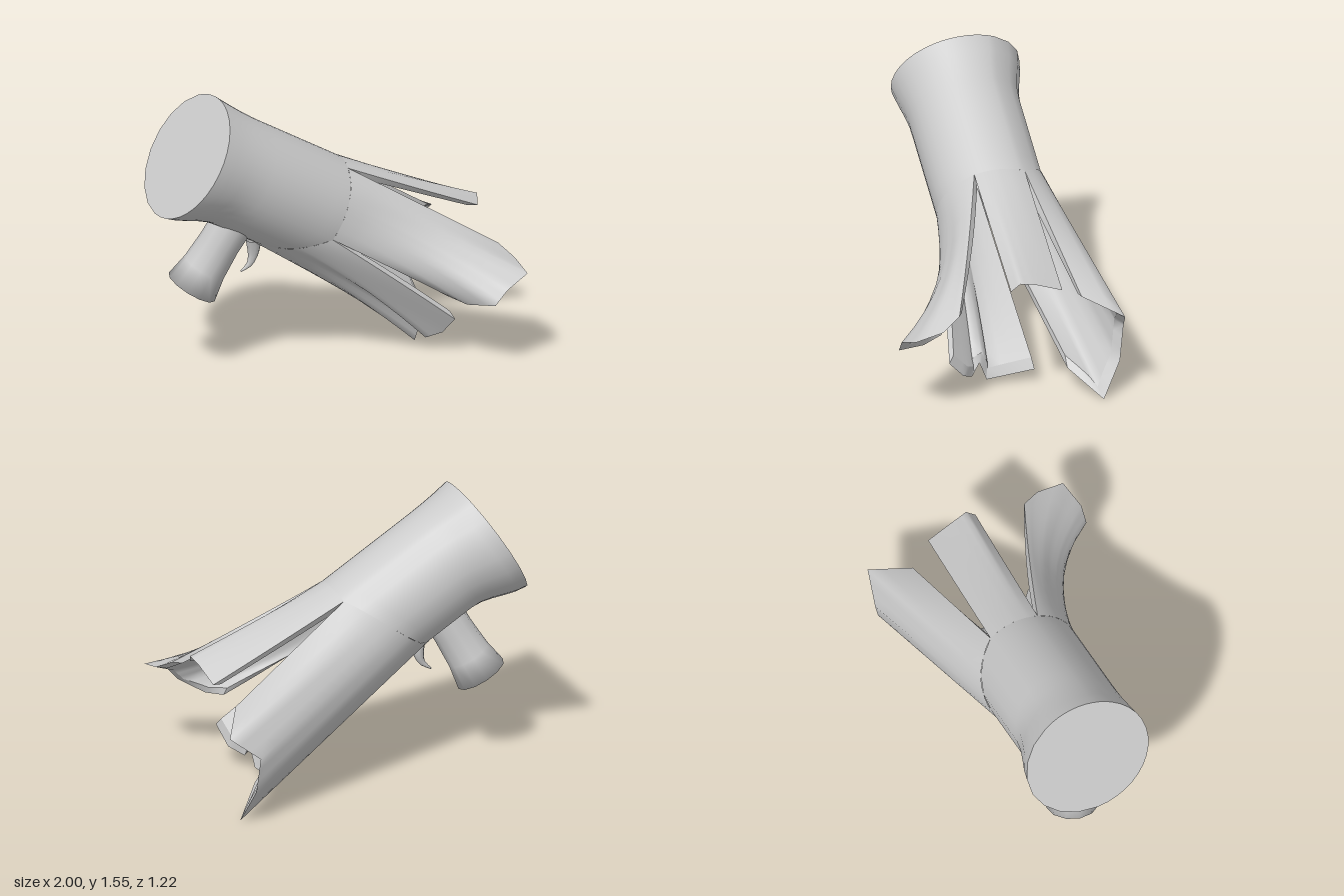
import * as THREE from 'three';
import { mergeGeometries, mergeVertices } from 'three/addons/utils/BufferGeometryUtils.js';

const V = (x, y, z) => new THREE.Vector3(x, y, z);
const { lerp, smoothstep, degToRad } = THREE.MathUtils;
const material = new THREE.MeshStandardMaterial({ color: 0xcccccc, side: THREE.DoubleSide });

// Frame of the log: centre of the big end, axis, and the two cross directions
const origin = V(-0.81, 1.25, 0.215);
const axis = V(0.843, -0.506, -0.195).normalize();
const side = axis.clone().cross(V(0, 1, 0)).normalize();
const up = side.clone().cross(axis).normalize();

// Point on the log; past the flared end its centre line shifts slightly
const onLog = (s, deg, r) => {
  const a = degToRad(deg), shift = smoothstep(s, 0, 0.3);
  return origin.clone().addScaledVector(axis, s)
    .addScaledVector(up, 0.03 * shift + r * Math.cos(a))
    .addScaledVector(side, 0.022 * shift + r * Math.sin(a));
};
const radius = s => 0.305 + 0.055 * (1 - smoothstep(s, -0.05, 0.3));

// Splits between the splinters: [angle, distance along the log]
const splits = [[-29, 0.87], [26, 0.86], [109, 0.876], [185, 0.55], [331, 0.87]];
const splitAt = (i, t) => [0, 1].map(k => lerp(splits[i][k], splits[i + 1][k], t));

// Smooth surface through fn(u, v), both running 0..1
function grid(fn, nu, nv) {
  const pos = [], index = [];
  for (let j = 0; j <= nv; j++)
    for (let i = 0; i <= nu; i++) pos.push(...fn(i / nu, j / nv).toArray());
  for (let j = 0; j < nv; j++)
    for (let i = 0; i < nu; i++) {
      const a = j * (nu + 1) + i, b = a + nu + 1;
      index.push(a, a + 1, b, a + 1, b + 1, b);
    }
  let g = new THREE.BufferGeometry();
  g.setAttribute('position', new THREE.Float32BufferAttribute(pos, 3));
  g.setIndex(index);
  g = mergeVertices(g, 1e-5);
  g.computeVertexNormals();
  return g;
}

// Bark of the log, ending in the zigzag line of the splits
function bodyPoint(u, v) {
  const k = Math.min(3, Math.floor(u * 4 + 1e-6));
  const [deg, end] = splitAt(k, u * 4 - k);
  return { deg, end, s: v * end };
}

// One splinter: starts on the log, bends out to a jagged, bevelled end.
// bend(u) is 0 for a straight rail and 1 for one leaving along the log
function splinter(i, ends, bend) {
  const tips = ends.map(p => V(...p)), last = tips.length - 1;
  const nu = last * 3, nv = 9;
  const run = [0];
  for (let k = 0; k < last; k++) run.push(run[k] + tips[k].distanceTo(tips[k + 1]));
  const outer = (u, v) => {
    const k = Math.min(last - 1, Math.floor(u * last + 1e-6)), f = u * last - k;
    const t = lerp(run[k], run[k + 1], f) / run[last];
    const [deg, s] = splitAt(i, t);
    const a = onLog(s, deg, radius(s)), b = tips[k].clone().lerp(tips[k + 1], f);
    const mid = a.clone().lerp(b, 0.5);
    const tangent = a.clone().addScaledVector(axis, a.distanceTo(b) / 2);
    return new THREE.QuadraticBezierCurve3(a, mid.lerp(tangent, bend(t)), b).getPoint(v);
  };
  const inner = (u, v) => {
    const e = 0.08, w = v * 0.95;
    const du = outer(Math.min(1, u + e), w).sub(outer(Math.max(0, u - e), w));
    const dv = outer(u, Math.min(1, w + e)).sub(outer(u, Math.max(0, w - e)));
    return outer(u, w).addScaledVector(du.cross(dv).normalize(), lerp(-0.045, -0.03, v));
  };
  const between = (u, v, t) => outer(u, v).lerp(inner(u, v), t);
  return mergeGeometries([
    grid(outer, nu, nv),
    grid((u, v) => inner(1 - u, v), nu, nv),
    grid((t, v) => between(0, v, 1 - t), 1, nv),
    grid((t, v) => between(1, v, t), 1, nv),
    grid((u, t) => between(u, 1, t), nu, 1),
  ]);
}

export function createModel() {
  const group = new THREE.Group();
  const add = (name, geometry) => {
    const mesh = new THREE.Mesh(geometry, material);
    mesh.name = name;
    group.add(mesh);
    return mesh;
  };

  // Trunk, its cut end, and the hollow at the broken end
  add('trunk', grid((u, v) => {
    const p = bodyPoint(u, v);
    return onLog(p.s, p.deg, radius(p.s));
  }, 32, 10));
  add('cutEnd', grid((u, v) => onLog(0, bodyPoint(u, 0).deg, radius(0) * v), 32, 1));
  add('hollow', grid((u, v) => {
    const p = bodyPoint(u, 1);
    return onLog(lerp(0.3, p.end, v), p.deg, (radius(p.end) - 0.045) * Math.sqrt(v));
  }, 32, 5));

  // Four splinters around the break
  add('topSplinter', splinter(0, [
    [0.79, 0.71, -0.27], [0.84, 0.77, -0.12], [0.87, 0.79, -0.04], [0.86, 0.74, 0.01]], () => 0.1));
  add('frontSplinter', splinter(1, [
    [0.9, 0.62, 0.29], [0.97, 0.56, 0.38], [1, 0.52, 0.53], [0.87, 0.46, 0.6],
    [0.8, 0.38, 0.61], [0.68, 0.35, 0.47], [0.6, 0.37, 0.37]],
  t => 0.1 + 0.3 * t + 0.7 * Math.sin(Math.PI * t)));
  add('bottomSplinter', splinter(2, [
    [0.65, 0.22, 0.33], [0.6, 0.12, 0.25], [0.52, 0.08, 0.2], [0.5, 0.15, 0.16],
    [0.48, 0.04, 0.12], [0.45, 0.08, -0.14]], t => 0.1 + 0.4 * Math.sin(Math.PI * t)));
  add('backSplinter', splinter(3, [
    [0.57, 0.14, -0.31], [0.69, 0.005, -0.5], [0.62, 0.2, -0.59], [0.6, 0.4, -0.61],
    [0.77, 0.53, -0.61], [0.69, 0.62, -0.38]], () => 0));

  // Branch stub under the trunk, flaring to a cut end
  const stubTop = V(-0.5, 0.93, 0.2), stubEnd = V(-0.765, 0.47, 0.14);
  const length = stubTop.distanceTo(stubEnd);
  const profile = [[0.118, 0], [0.113, 0.45], [0.122, 0.75], [0.145, 1], [0, 1]]
    .map(([r, t]) => new THREE.Vector2(r, t * length));
  const stub = add('branchStub', new THREE.LatheGeometry(profile, 12));
  stub.position.copy(stubTop);
  stub.quaternion.setFromUnitVectors(V(0, 1, 0), stubEnd.clone().sub(stubTop).normalize());

  // Small tapering twig beside the stub
  const twig = new THREE.CatmullRomCurve3([
    V(-0.42, 0.71, 0.14), V(-0.42, 0.63, 0.13), V(-0.44, 0.57, 0.13), V(-0.49, 0.53, 0.13)]);
  add('twig', grid((u, v) => {
    const a = u * Math.PI * 2, r = 0.04 * (1 - v) + 0.004;
    const t = twig.getTangent(v), n = V(0, 0, 1).cross(t).normalize();
    return twig.getPoint(v).addScaledVector(n, r * Math.cos(a)).add(V(0, 0, r * Math.sin(a)));
  }, 8, 7));

  return group;
}
